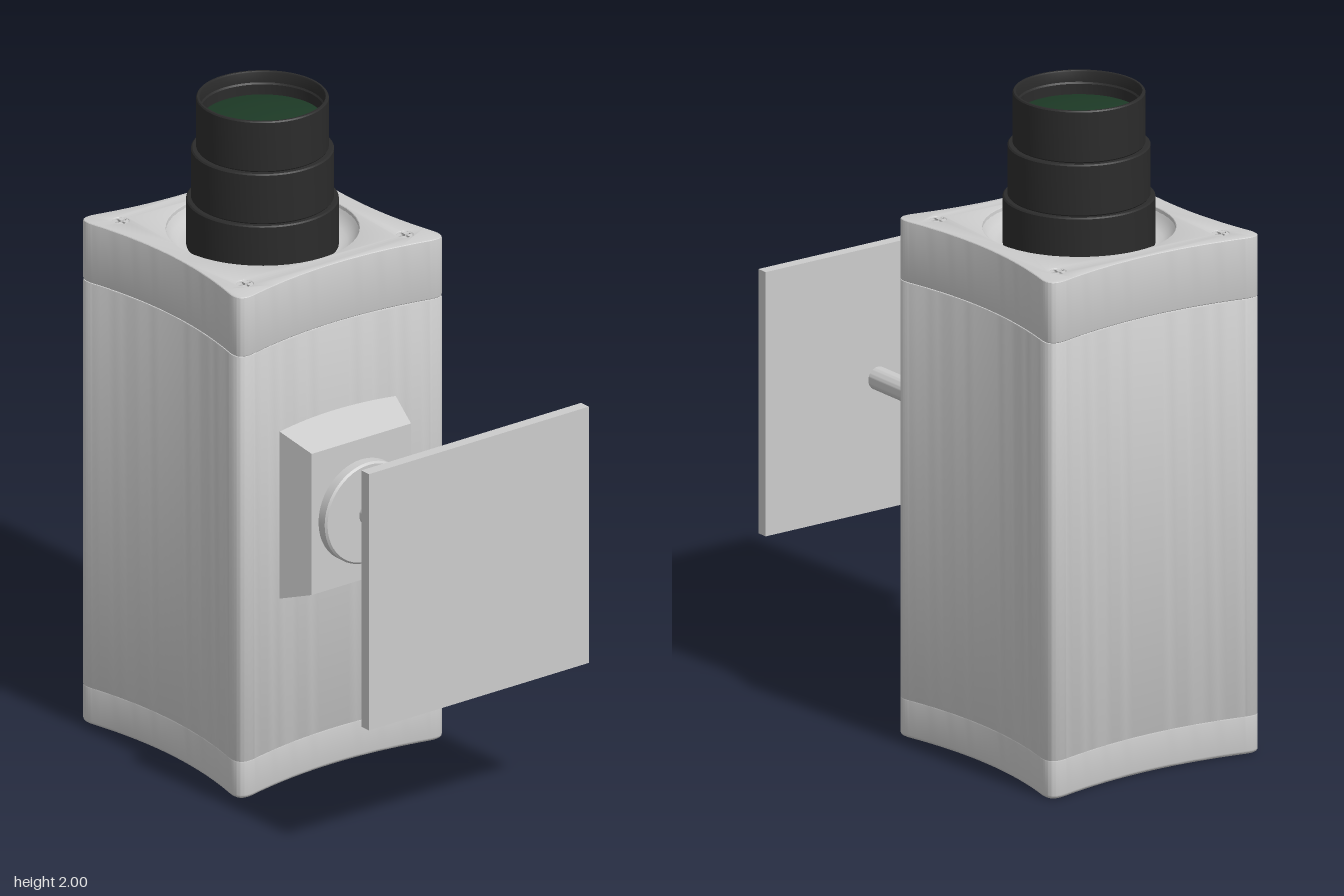
import * as THREE from 'three';
import { toCreasedNormals } from 'three/addons/utils/BufferGeometryUtils.js';

const paint = (color) => new THREE.MeshStandardMaterial({ color });
const grey = paint(0xcccccc);
const black = paint(0x2b2b2b);
const glass = paint(0x1d3a26);

const SCREW = 0.294; // screw offset from the housing axis
const corners = [[1, 1], [-1, 1], [-1, -1], [1, -1]];

function add(parent, name, geometry, material = grey) {
  const mesh = new THREE.Mesh(geometry, material);
  mesh.name = name;
  parent.add(mesh);
  return mesh;
}

const lathe = (pts, segments = 64) => toCreasedNormals(
  new THREE.LatheGeometry(pts.map(([r, y]) => new THREE.Vector2(r, y)), segments), 0.5);

const circle = (x, y, r) => new THREE.Path().absarc(x, y, r, 0, Math.PI * 2, true);

// Square outline with hollowed sides and rounded corners
function outline() {
  const s = new THREE.Shape();
  const a = 0.32, b = 0.376, c = 0.394, mid = 0.3;
  s.moveTo(-a, -b);
  s.quadraticCurveTo(0, -mid, a, -b);
  s.quadraticCurveTo(c, -c, b, -a);
  s.quadraticCurveTo(mid, 0, b, a);
  s.quadraticCurveTo(c, c, a, b);
  s.quadraticCurveTo(0, mid, -a, b);
  s.quadraticCurveTo(-c, c, -b, a);
  s.quadraticCurveTo(-mid, 0, -b, -a);
  s.quadraticCurveTo(-c, -c, -a, -b);
  return s;
}

// Upright slab from y0 to y1 with eased edges
function slab(shape, y0, y1, bevel, bevelSegments = 2) {
  const g = new THREE.ExtrudeGeometry(shape, {
    depth: y1 - y0 - 2 * bevel, curveSegments: 24, bevelEnabled: bevel > 0,
    bevelThickness: bevel, bevelSize: bevel, bevelOffset: -bevel, bevelSegments,
  });
  g.translate(0, 0, y0 + bevel);
  g.rotateX(-Math.PI / 2);
  return toCreasedNormals(g, 0.5);
}

// Screw head with a cross-shaped slot
function screwGeometry() {
  const head = new THREE.Shape().absarc(0, 0, 0.025, 0, Math.PI * 2, false);
  const w = 0.004, l = 0.02;
  const cross = [[w, w], [w, l], [-w, l], [-w, w], [-l, w], [-l, -w],
    [-w, -w], [-w, -l], [w, -l], [w, -w], [l, -w], [l, w]];
  head.holes.push(new THREE.Path(cross.map(([x, y]) => new THREE.Vector2(x, y))));
  return slab(head, 0, 0.02, 0);
}

function createHousing() {
  const housing = new THREE.Group();
  housing.name = 'housing';

  // Base with screw holes; its upper bevel is buried in the body
  const base = outline();
  corners.forEach(([x, z]) => base.holes.push(circle(x * SCREW, z * SCREW, 0.016)));
  add(housing, 'base', slab(base, 0, 0.127, 0.012, 4));
  add(housing, 'body', slab(outline(), 0.115, 1.397, 0.004));

  // Cap with the lens recess and screw holes
  const cap = outline();
  cap.holes.push(circle(0, 0, 0.281));
  corners.forEach(([x, z]) => cap.holes.push(circle(x * SCREW, z * SCREW, 0.024)));
  add(housing, 'cap', slab(cap, 1.397, 1.585, 0.005, 3));
  add(housing, 'lensRecess', lathe([[0.284, 1.578], [0.276, 1.565], [0.264, 1.55],
    [0.247, 1.54], [0.225, 1.535], [0.19, 1.535]]));

  const screw = screwGeometry();
  corners.forEach(([x, z]) => {
    add(housing, 'screw', screw).position.set(x * SCREW, 1.562, z * SCREW);
    const floor = add(housing, 'screwSlotFloor', new THREE.CylinderGeometry(0.025, 0.025, 0.02, 24));
    floor.position.set(x * SCREW, 1.557, z * SCREW);
  });
  return housing;
}

function createLens() {
  const lens = new THREE.Group();
  lens.name = 'lens';
  // Three stepped rings and a ridged bore in one profile
  add(lens, 'lensBarrel', lathe([
    [0.222, 1.5], [0.222, 1.678], [0.218, 1.682], [0.205, 1.682], [0.208, 1.686],
    [0.208, 1.836], [0.204, 1.84], [0.19, 1.84], [0.193, 1.844], [0.193, 1.996],
    [0.19, 2], [0.184, 2], [0.182, 1.996], [0.182, 1.965], [0.178, 1.96], [0.178, 1.92],
  ]), black);
  // Slightly domed front glass
  add(lens, 'lensGlass', lathe([[0.18, 1.928], [0.14, 1.936], [0.09, 1.942], [0.045, 1.945], [0, 1.946]]), glass);
  return lens;
}

function createMount() {
  const mount = new THREE.Group();
  mount.name = 'wallMount';
  mount.position.y = 0.851;

  // Tapered block fixed to the housing
  const block = new THREE.BoxGeometry(1, 1, 1);
  const p = block.attributes.position;
  for (let i = 0; i < p.count; i++) {
    const front = p.getZ(i) > 0;
    p.setXYZ(i, 2 * p.getX(i) * (front ? 0.183 : 0.223),
      2 * p.getY(i) * (front ? 0.223 : 0.276), front ? 0.145 : 0);
  }
  block.computeVertexNormals();
  add(mount, 'mountBlock', block);

  // Turned disc, collar, neck and rod along z
  const turned = (name, pts) => add(mount, name, lathe(pts, 48).rotateX(Math.PI / 2));
  turned('mountDisc', [[0.158, 0.14], [0.158, 0.174], [0.152, 0.18], [0, 0.18]]);
  turned('collar', [[0.035, 0.175], [0.035, 0.194], [0, 0.194]]);
  turned('neck', [[0.025, 0.19], [0.025, 0.235]]);
  turned('rod', [[0, 0.228], [0.035, 0.228], [0.035, 0.67]]);

  add(mount, 'wallPlate', new THREE.BoxGeometry(0.81, 0.81, 0.036)).position.z = 0.682;
  return mount;
}

export function createModel() {
  const model = new THREE.Group();
  model.name = 'wallCamera';
  const camera = new THREE.Group();
  camera.name = 'camera';
  camera.position.z = -0.322;
  camera.add(createHousing(), createLens());
  model.add(camera, createMount());
  return model;
}
